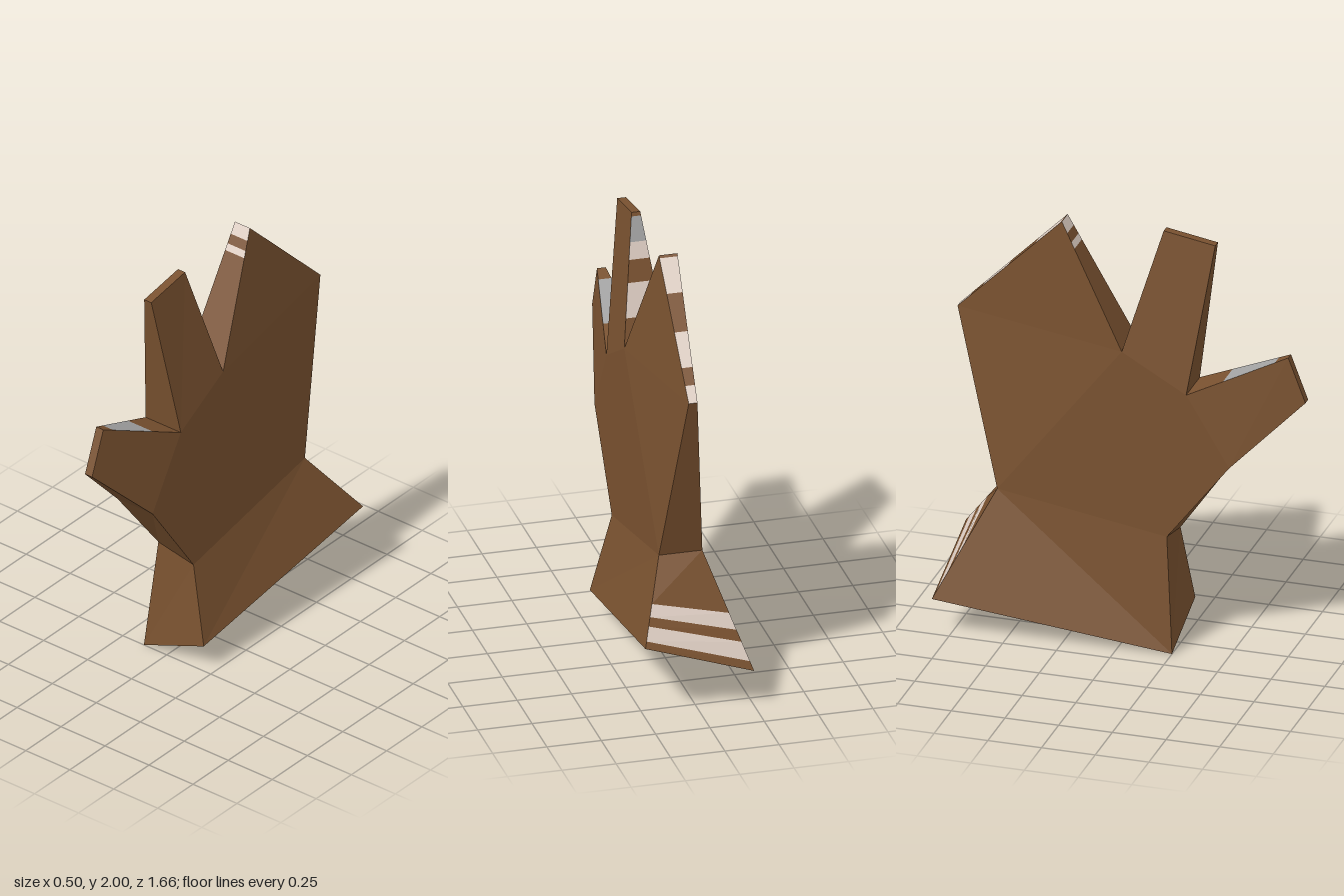
import * as THREE from 'three';

const materials = {
  brown: new THREE.MeshStandardMaterial({ color: 0x7a5230 }),
  paleStripe: new THREE.MeshStandardMaterial({ color: 0xe0d0c5 }),
  greyStripe: new THREE.MeshStandardMaterial({ color: 0xa4a4a4 }),
};
for (const [name, m] of Object.entries(materials)) m.name = name;

// Outline point: one corner on the right (-x) side, one on the left (+x) side
const pair = (z, y, xa, xb, yb = y) => ({
  a: new THREE.Vector3(xa, y, z),
  b: new THREE.Vector3(xb, yb, z),
});
const wide = (z, y) => pair(z, y, -0.08, 0.12);
const tip = (z, y) => pair(z, y, 0, 0.04);

// Outline, up the front, over the fingers and down the back
const P = [
  pair(0.25, 0, -0.13, 0.21, 0.13),       // 0 base front
  pair(0.21, 0.545, -0.08, 0.12, 0.505),  // 1 wrist front
  wide(0.5, 0.92),                        // 2
  tip(0.83, 1.25), tip(0.75, 1.46),       // 3, 4 front finger tip
  wide(0.3, 1.25),                        // 5
  tip(0.41, 1.96), tip(0.17, 2),          // 6, 7 middle finger tip
  wide(0, 1.42),                          // 8
  pair(-0.29, 2, -0.045, 0.04),           // 9 broad rear finger
  tip(-0.79, 1.5),                        // 10
  wide(-0.58, 0.67),                      // 11 wrist back
  pair(-0.83, 0.17, -0.25, 0.25, 0.34),   // 12 base back
];

// Each part: side polygon, rim edges (start index), painted bands along an edge
const W = 'paleStripe', G = 'greyStripe';
const parts = [
  { name: 'base', side: [0, 1, 11, 12], rim: [0, 11, 12],
    bands: { 11: [[0.52, 0.66, W], [0.76, 0.92, W]] } },
  { name: 'palm', side: [1, 2, 5, 8, 11], rim: [1] },
  { name: 'frontFinger', side: [2, 3, 4, 5], rim: [2, 3, 4],
    bands: { 4: [[0.13, 0.64, G]] } },
  { name: 'middleFinger', side: [5, 6, 7, 8], rim: [5, 6, 7],
    bands: { 7: [[0.03, 0.22, G], [0.22, 0.35, W], [0.52, 0.78, W]] } },
  { name: 'rearFinger', side: [8, 9, 10, 11], rim: [8, 9, 10],
    bands: {
      8: [[0.79, 0.84, W], [0.91, 1, W]],
      9: [[0.02, 0.26, W], [0.52, 0.76, W], [0.88, 1, W]],
    } },
];

function buildPart({ name, side, rim, bands = {} }) {
  const group = new THREE.Group();
  group.name = name;
  const tris = { brown: [], paleStripe: [], greyStripe: [] };
  const add = (colour, ...pts) => pts.forEach((p) => tris[colour].push(p.x, p.y, p.z));

  // Two broad side faces
  for (let i = 1; i < side.length - 1; i++) {
    const [p, q, r] = [P[side[0]], P[side[i]], P[side[i + 1]]];
    add('brown', p.a, q.a, r.a);
    add('brown', p.b, r.b, q.b);
  }

  // Rim faces, cut into bands of colour
  for (const i of rim) {
    const from = P[i], to = P[(i + 1) % P.length];
    const strip = (t0, t1, colour) => {
      if (t1 - t0 < 1e-4) return;
      const a0 = from.a.clone().lerp(to.a, t0), b0 = from.b.clone().lerp(to.b, t0);
      const a1 = from.a.clone().lerp(to.a, t1), b1 = from.b.clone().lerp(to.b, t1);
      add(colour, a0, b0, b1, a0, b1, a1);
    };
    let t = 0;
    for (const [t0, t1, colour] of bands[i] || []) {
      strip(t, t0, 'brown');
      strip(t0, t1, colour);
      t = t1;
    }
    strip(t, 1, 'brown');
  }

  for (const [colour, list] of Object.entries(tris)) {
    if (!list.length) continue;
    const geo = new THREE.BufferGeometry();
    geo.setAttribute('position', new THREE.Float32BufferAttribute(list, 3));
    geo.computeVertexNormals();
    const mesh = new THREE.Mesh(geo, materials[colour]);
    mesh.name = colour === 'brown' ? `${name}Body` : `${name}Stripes`;
    group.add(mesh);
  }
  return group;
}

export function createModel() {
  const model = new THREE.Group();
  model.name = 'handShape';
  parts.forEach((part) => model.add(buildPart(part)));
  return model;
}
